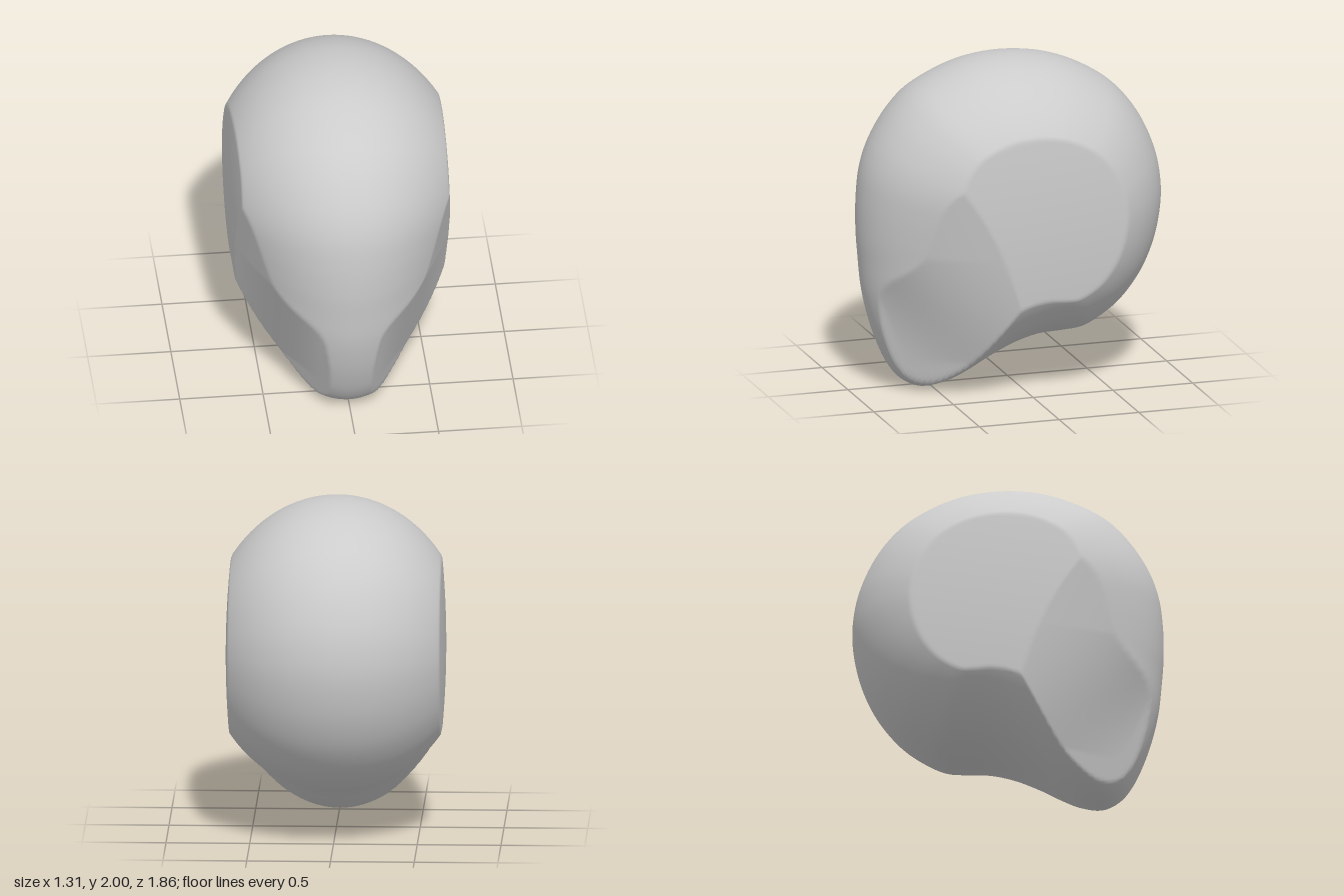
import * as THREE from 'three';

const CENTRE_Y = 1.08;
const HALF_WIDTH = 0.79; // of the skull before its sides are flattened

// Midline outline as [z, y], running top -> face -> chin -> neck -> back of skull
const OUTLINE = [
  [0.06, 2.0], [0.25, 1.972], [0.43, 1.908], [0.6, 1.815], [0.705, 1.715],
  [0.79, 1.6], [0.86, 1.47], [0.905, 1.33], [0.927, 1.15], [0.93, 0.95],
  [0.92, 0.8], [0.9, 0.6], [0.86, 0.42], [0.81, 0.27], [0.75, 0.14],
  [0.68, 0.05], [0.58, 0.0], [0.45, 0.02], [0.34, 0.07], [0.2, 0.15],
  [0.03, 0.23], [-0.13, 0.275], [-0.28, 0.285], [-0.41, 0.3], [-0.53, 0.36],
  [-0.65, 0.45], [-0.76, 0.58], [-0.83, 0.7], [-0.89, 0.86], [-0.925, 1.05],
  [-0.925, 1.2], [-0.89, 1.38], [-0.79, 1.6], [-0.65, 1.77], [-0.48, 1.885],
  [-0.3, 1.96], [-0.12, 1.995],
];

// How strongly the skull tapers sideways: round at the back, wedge-like at face and jaw
function taper(y, z) {
  const fromJaw = (THREE.MathUtils.radToDeg(Math.atan2(y, z)) + 30) / 50;
  return 1 + 0.62 * Math.exp(-fromJaw * fromJaw);
}

// Slightly domed flat on the side of the skull: ratio of its limit to x
function sideCut(x, y, z) {
  const limit = 0.655 - 0.09 * (y - 1.1) ** 2 - 0.09 * (z + 0.08) ** 2;
  return limit / Math.max(x, 1e-6);
}

// Flat cheek running from the side flat to the chin, a little fuller along its top edge
function cheekCut(x, y, z) {
  const t = THREE.MathUtils.clamp((x - 0.17) / 0.48, 0, 1);
  const rise = THREE.MathUtils.clamp((y - 0.2) / 0.7, 0, 1);
  const full = 0.07 * Math.sin(Math.PI * t) * rise;
  const reach = 0.74 * x - 0.2 * (y - CENTRE_Y) + 0.45 * z;
  return (0.394 + 0.2 * CENTRE_Y + full) / Math.max(reach, 1e-6);
}

// Pull a point towards the centre until it lies within both flats
function trim(p) {
  let s = 1;
  for (let i = 0; i < 10; i++) {
    const x = Math.abs(p.x) * s, y = CENTRE_Y + p.y * s, z = p.z * s;
    s = Math.min(1, s * Math.min(sideCut(x, y, z), cheekCut(x, y, z)));
  }
  return p.multiplyScalar(s);
}

function headGeometry(around = 220, across = 180) {
  const curve = new THREE.CatmullRomCurve3(
    OUTLINE.map(([z, y]) => new THREE.Vector3(0, y - CENTRE_Y, z)), true);
  const positions = [], index = [];
  for (let i = 0; i < around; i++) {
    const m = curve.getPointAt(i / around);
    const power = taper(m.y, m.z);
    for (let j = 0; j <= across; j++) {
      const a = (j / across - 0.5) * Math.PI;
      const c = Math.max(Math.cos(a), 1e-4) ** power;
      const p = trim(new THREE.Vector3(HALF_WIDTH * Math.sin(a), m.y * c, m.z * c));
      positions.push(p.x, p.y + CENTRE_Y, p.z);
    }
  }
  const row = across + 1;
  for (let i = 0; i < around; i++) {
    const next = (i + 1) % around;
    for (let j = 0; j < across; j++) {
      const a = i * row + j, b = next * row + j;
      index.push(a, b, a + 1, b, b + 1, a + 1);
    }
  }
  const g = new THREE.BufferGeometry();
  g.setAttribute('position', new THREE.Float32BufferAttribute(positions, 3));
  g.setIndex(index);
  g.computeVertexNormals();
  return g;
}

export function createModel() {
  const group = new THREE.Group();
  group.name = 'headBase';
  const head = new THREE.Mesh(
    headGeometry(), new THREE.MeshStandardMaterial({ color: 0xcccccc }));
  head.name = 'head';
  group.add(head);
  return group;
}
